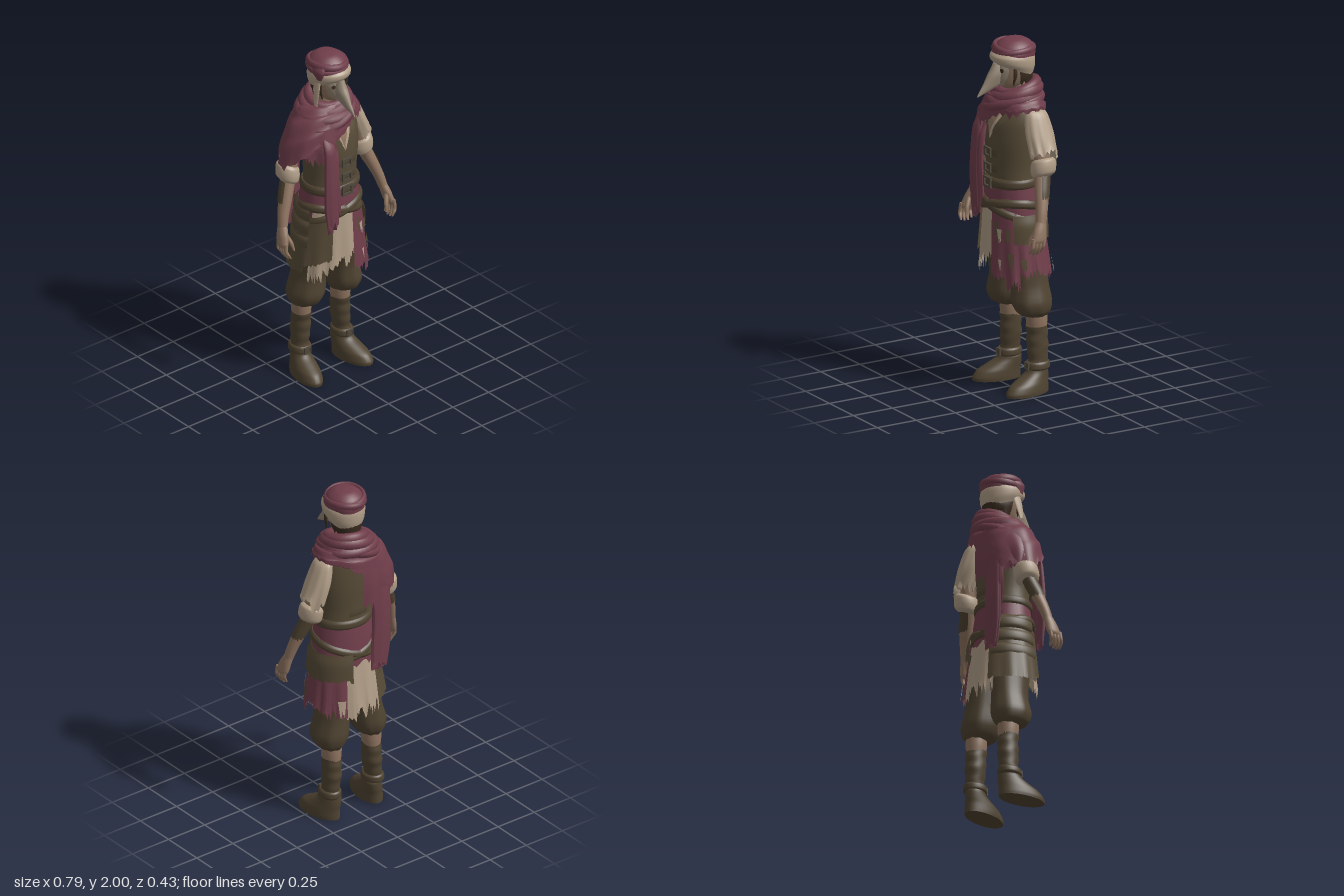
import * as THREE from 'three';

const mat = (name, color) => Object.assign(new THREE.MeshStandardMaterial({ color, side: THREE.DoubleSide }), { name });
const wine = mat('wine cloth', 0x703e4b), cream = mat('cream linen', 0xb09d87), olive = mat('olive cloth', 0x574b37),
  leather = mat('brown leather', 0x4f4331), skin = mat('skin', 0x8f7460), bone = mat('bone mask', 0x948674),
  dark = mat('dark hair', 0x3a2d20), iron = mat('iron', 0x4f483d);

const rand = n => { const s = Math.sin(n * 127.1 + 11.7) * 43758.5453; return s - Math.floor(s); };
const D = Math.PI / 180;

export function createModel() {
  const model = new THREE.Group();
  const add = (name, geo, m) => {
    const mesh = new THREE.Mesh(geo, m);
    mesh.name = name;
    model.add(mesh);
    return mesh;
  };

  // Skin over horizontal ellipses [y, rx, rz, cx, cz], listed top to bottom; angle 0 faces +z, 90 faces +x.
  function shell(name, m, prof, o = {}) {
    const { arc, seg = 28, rows = prof.length * 3, jag = 0, fold = 0, folds = 9, open = !!arc, mod, seed = 1 } = o;
    const c1 = new THREE.CatmullRomCurve3(prof.map(p => new THREE.Vector3(p[0], p[1], p[2])), false, 'catmullrom', 0.4);
    const c2 = new THREE.CatmullRomCurve3(prof.map(p => new THREE.Vector3(p[3] || 0, p[4] || 0, 0)), false, 'catmullrom', 0.4);
    const pos = [], idx = [], cols = arc ? seg + 1 : seg;
    const ts = [...Array(rows + 1).keys()].map(i => [i / rows, 1]);
    if (!open) { ts.unshift([0, 0], [0, 1]); ts.push([1, 1], [1, 0]); }
    for (const [t, k] of ts) {
      const p = c1.getPoint(t), c = c2.getPoint(t);
      const [a0, a1] = arc ? (typeof arc === 'function' ? arc(t) : arc) : [-180, 180];
      for (let j = 0; j < cols; j++) {
        const a = (a0 + (a1 - a0) * j / seg) * D, r = k * (1 + fold * t * Math.sin(folds * a + seed));
        const v = new THREE.Vector3(c.x + p.y * r * Math.sin(a), p.x, c.y + p.z * r * Math.cos(a));
        v.y -= jag * (rand(j + seed * 17) - 0.5) * t ** 6;
        if (mod) mod(v, a, t);
        pos.push(v.x, v.y, v.z);
      }
    }
    for (let i = 0; i < ts.length - 1; i++) for (let j = 0; j < seg; j++) {
      const n = (j + 1) % cols, A = i * cols + j, B = i * cols + n, C = A + cols, E = B + cols;
      idx.push(A, C, B, B, C, E);
    }
    const g = new THREE.BufferGeometry();
    g.setAttribute('position', new THREE.Float32BufferAttribute(pos, 3));
    g.setIndex(idx);
    g.computeVertexNormals();
    return add(name, g, m);
  }

  function roll(name, m, [x, y, z], R, tube, sx, sz, sy, tilt, lean) {
    const mesh = add(name, new THREE.TorusGeometry(R, tube, 10, 36), m);
    mesh.position.set(x, y, z);
    mesh.rotation.set(Math.PI / 2 + tilt, lean, 0);
    mesh.scale.set(sx, sz, sy);
  }

  function buckle(x, y, z, w, h) {
    const s = new THREE.Shape([[-w, -h], [w, -h], [w, h], [-w, h]].map(p => new THREE.Vector2(...p)));
    s.holes.push(new THREE.Path([[-w, -h], [-w, h], [w, h], [w, -h]].map(p => new THREE.Vector2(p[0] * 0.65, p[1] * 0.6))));
    const b = add('buckle', new THREE.ExtrudeGeometry(s, { depth: 0.012, bevelEnabled: false }), iron);
    b.position.set(x, y, z);
  }

  // Head, mask and hair
  shell('head', skin, [[1.93, .05, .06, 0, -.03], [1.88, .085, .1, 0, -.03], [1.81, .083, .1, 0, -.03], [1.75, .06, .085, 0, -.02], [1.72, .035, .05, 0, -.01]]);
  shell('neck', skin, [[1.77, .05, .05, 0, -.05], [1.6, .06, .06, 0, -.05]]);
  shell('mask face', bone, [[1.88, .066, .085, 0, -.005], [1.83, .07, .092, 0, -.005], [1.78, .056, .085, 0, 0], [1.74, .034, .07, 0, .005]], { arc: [-62, 62] });
  shell('beak', bone, [[1.87, .02, .028, 0, .077], [1.83, .03, .043, 0, .082], [1.80, .032, .054, 0, .09], [1.75, .022, .058, 0, .115], [1.715, .011, .032, 0, .165], [1.69, .003, .004, 0, .207]]);
  shell('hair', dark, [[1.88, .09, .1, 0, -.035], [1.8, .089, .097, 0, -.04], [1.745, .072, .08, 0, -.045]], { arc: [75, 285], jag: .05, seg: 36 });
  for (const s of [-1, 1]) {
    const eye = add('eye', new THREE.CircleGeometry(.012, 16), dark);
    eye.position.set(s * .042, 1.832, .076);
    eye.rotation.y = s * .45;
    shell('hair lock', dark, [[1.87, .008, .01, s * .086, .02], [1.81, .009, .012, s * .092, .02], [1.75, .003, .004, s * .08, .025]], { seg: 8 });
  }

  // Wrapped headcloth
  shell('headcloth crown', wine, [[2, .012, .012, 0, -.03], [1.992, .055, .06, 0, -.03], [1.965, .092, .1, 0, -.03], [1.925, .11, .12, 0, -.025], [1.895, .108, .118, 0, -.025]], { fold: .015, folds: 5 });
  shell('headcloth band', cream, [[1.93, .1, .112, 0, -.02], [1.91, .116, .127, 0, -.017], [1.885, .114, .125, 0, -.017], [1.865, .098, .11, 0, -.02]], {
    mod: (v, a, t) => { v.y -= .085 * t * (1 - Math.cos(a)) / 2; }
  });
  roll('headcloth roll', wine, [-.004, 1.94, -.028], .1, .014, 1, 1.08, 1.6, -.05, -.14);
  roll('headcloth roll', wine, [-.004, 1.93, -.028], .103, .013, 1, 1.08, 1.5, .06, .1);
  shell('headcloth knot', wine, [[1.965, .012, .04, -.085, .005], [1.93, .025, .05, -.095, .01], [1.88, .012, .03, -.1, .015]], { seg: 12 });
  shell('headcloth tail', cream, [[1.87, .01, .03, -.095, 0], [1.8, .008, .026, -.11, .01], [1.72, .004, .012, -.122, .02]], { seg: 10, jag: .02 });

  // Torso: vest, open shirt and lapels
  const chest = [[1.66, .08, .06, 0, -.05], [1.62, .15, .1, 0, -.04], [1.54, .17, .128, 0, -.02], [1.42, .168, .138, 0, -.012], [1.28, .155, .132, 0, -.01], [1.17, .16, .132, 0, -.01]];
  shell('vest', olive, chest, { seg: 40 });
  const neckline = g => [[1.63, .142 + g, .095 + g, 0, -.04], [1.54, .17 + g, .128 + g, 0, -.02], [1.44, .168 + g, .138 + g, 0, -.012]];
  shell('shirt front', cream, neckline(.004), { arc: t => [-30 * (1 - t), 30 * (1 - t)] });
  shell('bare chest', skin, neckline(.007), { arc: t => [-20 * (1 - t), 20 * Math.max(0, 1 - 1.3 * t)] });
  for (const s of [-1, 1])
    shell('lapel', olive, neckline(.011), { arc: t => [s * 30 * (1 - t), s * (30 * (1 - t) + 15 * Math.sin(Math.PI * Math.min(1, t + .25)))], seg: 8 });
  const strap = (y, a0, a1) => shell('vest strap', leather, [[y + .02, .176, .146, 0, -.01], [y, .178, .148, 0, -.01], [y - .02, .175, .146, 0, -.01]], { arc: [a0, a1], seg: 14 });
  for (const y of [1.37, 1.28]) {
    strap(y, -24, 24);
    buckle(0, y, .135, .032, .026);
  }
  strap(1.27, 160, 200);

  // Waist and belts
  shell('tunic hips', wine, [[1.21, .163, .137, 0, -.012], [1.1, .176, .148, 0, -.015], [.98, .186, .152, 0, -.022], [.88, .19, .15, 0, -.025]], { seg: 40, fold: .02, folds: 11 });
  shell('waist belt', leather, [[1.225, .164, .14, 0, -.01], [1.21, .172, .15, 0, -.01], [1.185, .173, .151, 0, -.01], [1.17, .164, .14, 0, -.01]], { seg: 40 });
  buckle(0, 1.197, .137, .036, .03);
  for (const s of [-1, 1])
    shell('slung belt', leather, [[1.085, .18, .152, 0, -.015], [1.072, .19, .164, 0, -.015], [1.052, .193, .167, 0, -.015], [1.037, .184, .158, 0, -.015]], {
      seg: 40, mod: (v, a) => { v.y += s * .045 * Math.sin(a) + .03 * Math.cos(a) - .02; }
    });

  // Ragged skirt panels [name, material, start, end, top, bottom, gap, hem slope, raggedness]
  const panels = [
    ['front linen panel', cream, -66, 16, 1.1, .715, 0, .15, .09],
    ['front wine panel', wine, 12, 62, 1.04, .65, .006, -.04, .09],
    ['left wine panel', wine, 60, 110, 1.0, .69, .002, 0, .07],
    ['back wine panel', wine, 105, 153, 1.04, .67, .001, 0, .08],
    ['back linen panel', cream, 146, 212, 1.08, .66, -.006, 0, .1],
    ['right olive panel', olive, 205, 290, 1.04, .7, .014, 0, .012],
    ['front olive panel', olive, -78, -27, 1.04, .755, .014, .05, .02]
  ];
  panels.forEach(([name, m, a0, a1, top, bot, g, slope, jag], i) => {
    const r = y => { const k = (1.1 - y) / .4; return [y, .178 + .05 * k + g * k, .148 + .032 * k + g, 0, -.015 - .015 * k]; };
    shell(name, m, [r(top), r((top + bot) / 2), r(bot)], {
      arc: [a0, a1], seg: Math.round((a1 - a0) / 2), rows: 16, jag, fold: m === olive ? .01 : .025, folds: 14, seed: i + 1,
      mod: (v, a, t) => { v.y += slope * t * ((a / D - a0) / (a1 - a0) - .5); }
    });
  });
  // Worn patches on the wine panels
  [[18, 27, .99, .89, olive], [24, 34, .95, .88, cream], [38, 50, .95, .88, olive], [42, 54, .82, .74, olive], [26, 33, .78, .72, cream], [62, 74, .79, .74, olive], [138, 151, .76, .68, cream]].forEach(([a0, a1, y0, y1, m], i) => {
    const r = y => { const k = (1.1 - y) / .4; return [y, .192 + .053 * k, .162 + .033 * k, 0, -.015 - .015 * k]; };
    shell('worn patch', m, [r(y0), r(y1)], { arc: t => [a0 + 4 * t, a1 - 2 * t], seg: 8, jag: .05, seed: i });
  });

  // Hip pouches
  shell('left hip flap', olive, [[1.03, .195, .17, 0, -.02], [.97, .213, .182, 0, -.02], [.87, .217, .184, 0, -.022]], { arc: [55, 162], jag: .03, seg: 32 });
  for (let i = 0; i < 3; i++) {
    const y = 1.1 - i * .085, g = i * .009;
    shell('right pouch roll', olive, [[y, .178 + g, .155 + g, 0, -.015], [y - .03, .197 + g, .178 + g, 0, -.02], [y - .07, .2 + g, .18 + g, 0, -.02], [y - .095, .183 + g, .16 + g, 0, -.02]], { arc: [-150, -70], seg: 20 });
  }

  // Scarf: neck wraps, shoulder cape and hanging tails
  roll('scarf wrap', wine, [.012, 1.715, -.05], .09, .028, 1.08, 1.1, 1.1, .28, .14);
  roll('scarf wrap', wine, [0, 1.685, -.045], .105, .034, 1.12, 1.08, 1.1, .2, .2);
  roll('scarf wrap', wine, [-.01, 1.65, -.04], .122, .036, 1.12, 1.02, 1, .1, .05);
  roll('scarf wrap', wine, [-.02, 1.63, -.035], .138, .03, 1.12, 1, 1, .12, .32);
  shell('scarf cape', wine, [[1.71, .1, .09, 0, -.04], [1.675, .16, .13, -.01, -.04], [1.61, .212, .16, -.02, -.04], [1.55, .23, .168, -.03, -.04]], {
    seg: 64, rows: 18, jag: .05, fold: .025, folds: 7, open: true,
    mod: (v, a, t) => {
      const s = (1 - Math.sin(a)) / 2, back = (1 - Math.cos(a)) / 2;
      v.y += t * t * (.07 - .2 * s ** 1.5 - .12 * s * back) + .008 * Math.sin(t * 22 + 2 * a);
      v.x -= .05 * t * s;
    }
  });
  shell('scarf back drape', wine, [[1.6, .19, .16, -.03, -.04], [1.46, .25, .172, -.04, -.04], [1.32, .25, .17, -.04, -.04]], { arc: [-190, -108], seg: 36, jag: .07, fold: .03, folds: 12 });
  shell('scarf front drape', wine, [[1.6, .19, .155, -.03, -.03], [1.52, .22, .177, -.03, -.03], [1.44, .225, .179, -.03, -.03]], { arc: [-72, -12], seg: 30, jag: .06, fold: .04, folds: 12, mod: (v, a, t) => { v.y += t * .04 * Math.sin(a * 3); } });
  const tail = (name, x, z, w, top, bot, seed) => shell(name, wine, [[top, w * .7, .01, x, z * .72], [top - .08, w * .9, .02, x, z * .92], [(top + bot) / 2, w, .018, x - .005, z], [bot + .12, w * 1.05, .016, x, z], [bot, w * .85, .012, x + .01, z]], { seg: 26, jag: .08, fold: .12, folds: 7, seed });
  tail('scarf front tail', -.115, .15, .043, 1.55, 1.0, 3);
  tail('scarf front under tail', -.085, .142, .033, 1.52, 1.08, 4);
  tail('scarf back tail', -.125, -.19, .06, 1.5, .92, 5);
  tail('scarf back under tail', -.145, -.178, .05, 1.5, 1.08, 6);

  for (const s of [-1, 1]) {
    const side = (name, m, prof, o) => shell((s > 0 ? 'left ' : 'right ') + name, m, prof.map(p => [p[0], p[1], p[2], s * p[3], p[4]]), o);
    // Arms and hands; the sleeve under the cape is tucked in
    const tuck = s > 0 ? 1 : .72;
    side('sleeve', cream, [[1.63, .022, .04, .16, -.055], [1.6, .046, .066, .174, -.06], [1.5, .058, .082, .207, -.063], [1.39, .06, .08, .248, -.065]].map(p => [p[0], p[1] * tuck, p[2] * tuck, p[3], p[4]]), { jag: .09, fold: .05, seg: 36 });
    side('upper arm', skin, [[1.45, .04, .05, .23, -.06], [1.3, .042, .048, .255, -.055]]);
    side('rolled cuff', cream, [[1.365, .042, .056, .252, -.062], [1.35, .058, .07, .253, -.062], [1.315, .063, .073, .257, -.058], [1.28, .058, .068, .262, -.055], [1.262, .04, .05, .264, -.05]], { mod: v => { v.y += (Math.abs(v.x) - .255) * .35; } });
    side('forearm', skin, [[1.3, .04, .045, .257, -.05], [1.2, .038, .042, .296, -.025], [1.1, .031, .034, .334, 0], [1.02, .025, .03, .355, .018]]);
    side('forearm wrap', leather, [[1.28, .042, .047, .266, -.045], [1.21, .043, .046, .293, -.026], [1.165, .039, .042, .311, -.016]], { arc: s > 0 ? [60, 240] : [-240, -60], jag: .02 });
    side('palm', skin, [[1.05, .024, .029, .349, .012], [1.0, .026, .039, .362, .028], [.95, .023, .044, .373, .04], [.93, .015, .038, .375, .045]]);
    for (let f = 0; f < 4; f++) {
      const z = .012 + f * .022, d = [.01, 0, 0, .008][f];
      side('finger', skin, [[.96, .012, .0115, .377, z], [.915, .0115, .011, .381, z + .006], [.885 + d, .01, .0105, .371, z + .012], [.862 + d, .006, .006, .358, z + .014]], { seg: 10 });
    }
    side('thumb', skin, [[1.0, .013, .014, .352, .045], [.95, .013, .013, .335, .068], [.905, .007, .008, .324, .08]], { seg: 10 });

    // Legs and boots
    side('trouser leg', leather, [[.92, .09, .125, .095, -.035], [.76, .09, .118, .1, -.045], [.62, .09, .108, .113, -.058], [.52, .1, .117, .129, -.06], [.465, .085, .1, .135, -.066], [.435, .055, .065, .138, -.08]], { seg: 36, fold: .035, folds: 8 });
    side('shin', skin, [[.47, .055, .062, .137, -.085], [.4, .054, .06, .137, -.088], [.33, .046, .055, .138, -.09]]);
    side('boot', leather, [[.375, .052, .061, .138, -.088], [.33, .051, .061, .138, -.09], [.26, .052, .062, .14, -.092], [.18, .046, .056, .146, -.09], [.12, .053, .068, .15, -.085], [.085, .06, .098, .153, -.056], [.055, .067, .124, .156, -.027], [.02, .071, .138, .158, -.014], [0, .07, .138, .158, -.014]], {
      seg: 32, rows: 40, mod: v => { if (v.y > .13) v.z += .003 * Math.sin(v.y * 90); else v.x += s * (v.z + .05) * .12; }
    });
    side('ankle strap', leather, [[.175, .05, .062, .147, -.088], [.165, .058, .07, .147, -.088], [.14, .06, .072, .148, -.087], [.13, .053, .064, .148, -.087]]);
    buckle(s * .148, .153, -.025, .022, .02);
  }
  return model;
}
